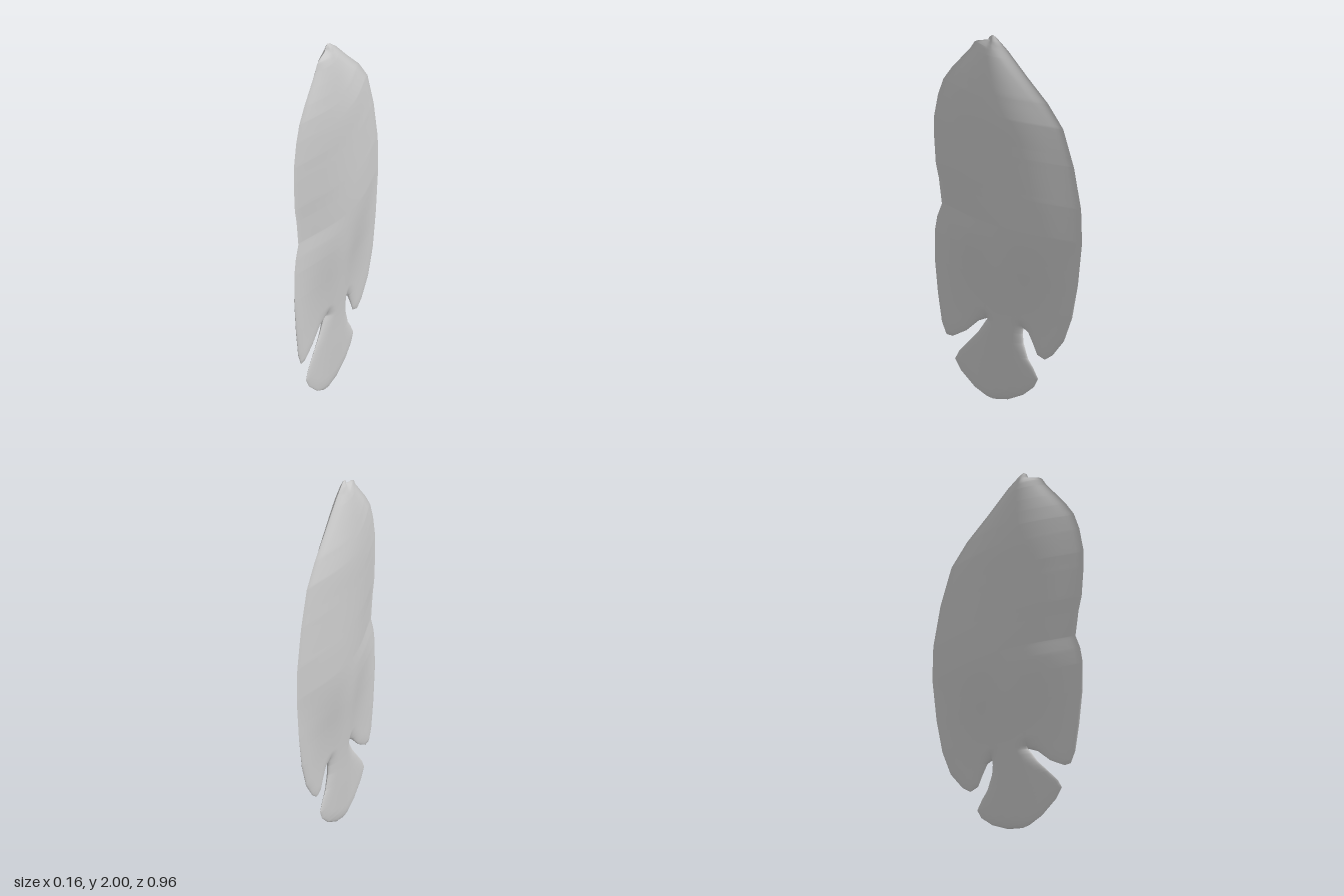
import * as THREE from 'three';
import { mergeVertices } from 'three/addons/utils/BufferGeometryUtils.js';

// Edge curves as [y, z] pairs, from low to high
const bellyEdge = [[.28, .40], [.344, .43], [.49, .455], [.677, .476], [.83, .476], [.915, .46], [.99, .43], [1.127, .45],
  [1.206, .47], [1.365, .482], [1.455, .482], [1.587, .455], [1.68, .42], [1.757, .365], [1.895, .243], [1.935, .217],
  [1.95, .19], [1.965, .13], [1.985, .12], [2, .10]];
const backEdge = [[.296, -.238], [.333, -.29], [.43, -.365], [.57, -.418], [.757, -.455], [.995, -.482], [1.18, -.476],
  [1.397, -.43], [1.593, -.36], [1.71, -.26], [1.82, -.13], [1.937, 0], [1.99, .075], [2, .10]];
const bellyNotch = [[.28, .36], [.333, .27], [.407, .19], [.437, .13]];
const backNotch = [[.296, -.238], [.312, -.19], [.365, -.164], [.423, -.132], [.437, -.10]];
const tailFront = [[0, .095], [.005, .137], [.037, .217], [.106, .307], [.16, .344], [.21, .317], [.35, .19], [.437, .13]];
const tailBack = [[0, .095], [.02, 0], [.07, -.10], [.13, -.17], [.18, -.196], [.233, -.164], [.275, -.13], [.354, -.10],
  [.407, -.095], [.437, -.10]];
// Inner seams that continue the notches up to the snout
const bellySeam = [[1.9, .12], [1.965, .11], [2, .10]];
const backSeam = [[1.7, -.08], [1.85, 0], [1.93, .05], [1.985, .085], [2, .10]];

const edges = [bellyEdge, backEdge, bellyNotch, backNotch, tailFront, tailBack, [[.28, .36], [.28, .40]]];

function at(curve, y) {
  if (y <= curve[0][0]) return curve[0][1];
  for (let i = 1; i < curve.length; i++) {
    const [y0, z0] = curve[i - 1], [y1, z1] = curve[i];
    if (y <= y1) return y1 === y0 ? z1 : z0 + (z1 - z0) * (y - y0) / (y1 - y0);
  }
  return curve[curve.length - 1][1];
}

// Distance from a point to the silhouette
function rimDistance(y, z) {
  let best = 9;
  for (const e of edges) {
    for (let i = 1; i < e.length; i++) {
      const [ay, az] = e[i - 1], dy = e[i][0] - ay, dz = e[i][1] - az;
      const len = dy * dy + dz * dz;
      const t = len ? THREE.MathUtils.clamp(((y - ay) * dy + (z - az) * dz) / len, 0, 1) : 0;
      best = Math.min(best, Math.hypot(y - ay - t * dy, z - az - t * dz));
    }
  }
  return best;
}

// Greatest half thickness at each height
const girth = new THREE.CubicInterpolant(
  [0, .2, .4, .6, .8, 1, 1.4, 1.6, 1.8, 1.9, 1.965, 2],
  [.012, .024, .034, .05, .068, .078, .08, .077, .055, .037, .02, .008], 1, new Float32Array(1));

function halfThickness(y, z) {
  const g = girth.evaluate(y)[0];
  const f = at(bellyEdge, y), b = at(backEdge, y);
  const u = f > b ? (2 * z - f - b) / (f - b) : 0;
  const lens = Math.pow(Math.max(0, 1 - u * u), 1.4);
  const stalk = .25 + .75 * Math.exp(-Math.pow((z - .03) / .13, 2));
  const blend = THREE.MathUtils.smoothstep(y, .35, .95);
  const e = Math.min(1, rimDistance(y, z) / .06);
  return g * (stalk + (lens - stalk) * blend) * Math.sqrt(e * (2 - e));
}

// Shared heights keep neighbouring strips joined
const heights = new Set();
for (let i = 0; i <= 80; i++) heights.add(i / 40);
edges.flat().forEach(p => heights.add(p[0]));
const rows = [...heights].sort((a, b) => a - b);

// Half of the skin between two curves, appended to the lists
function addStrip(front, back, positions, indices, side) {
  const start = positions.length / 3, cols = 18;
  const ys = rows.filter(y => y >= front[0][0]);
  ys.forEach((y, i) => {
    const zf = at(front, y), zb = at(back, y);
    for (let j = 0; j <= cols; j++) {
      const s = (1 - Math.cos(Math.PI * j / cols)) / 2;
      const z = zf + (zb - zf) * s;
      positions.push(side * halfThickness(y, z), y, z);
      if (!i || !j) continue;
      const d = start + i * (cols + 1) + j, c = d - 1, b = d - cols - 1, a = b - 1;
      if (side > 0) indices.push(a, b, c, b, d, c);
      else indices.push(a, c, b, b, c, d);
    }
  });
}

function skinHalf(side) {
  const positions = [], indices = [];
  const innerFront = [...bellyNotch, ...bellySeam], innerBack = [...backNotch, ...backSeam];
  addStrip(bellyEdge, innerFront, positions, indices, side);                              // belly and lower fin
  addStrip([...tailFront, ...bellySeam], [...tailBack, ...backSeam], positions, indices, side); // body core and tail
  addStrip(innerBack, backEdge, positions, indices, side);                                // back and upper fin
  const geo = new THREE.BufferGeometry();
  geo.setAttribute('position', new THREE.Float32BufferAttribute(positions, 3));
  geo.setIndex(indices);
  const merged = mergeVertices(geo, 1e-5);
  merged.computeVertexNormals();
  return merged;
}

export function createModel() {
  const model = new THREE.Group();
  model.name = 'fish';
  const grey = new THREE.MeshStandardMaterial({ color: 0xcccccc });
  grey.name = 'light grey';
  for (const side of [1, -1]) {
    const half = new THREE.Mesh(skinHalf(side), grey);
    half.name = side > 0 ? 'leftFlank' : 'rightFlank';
    model.add(half);
  }
  return model;
}
